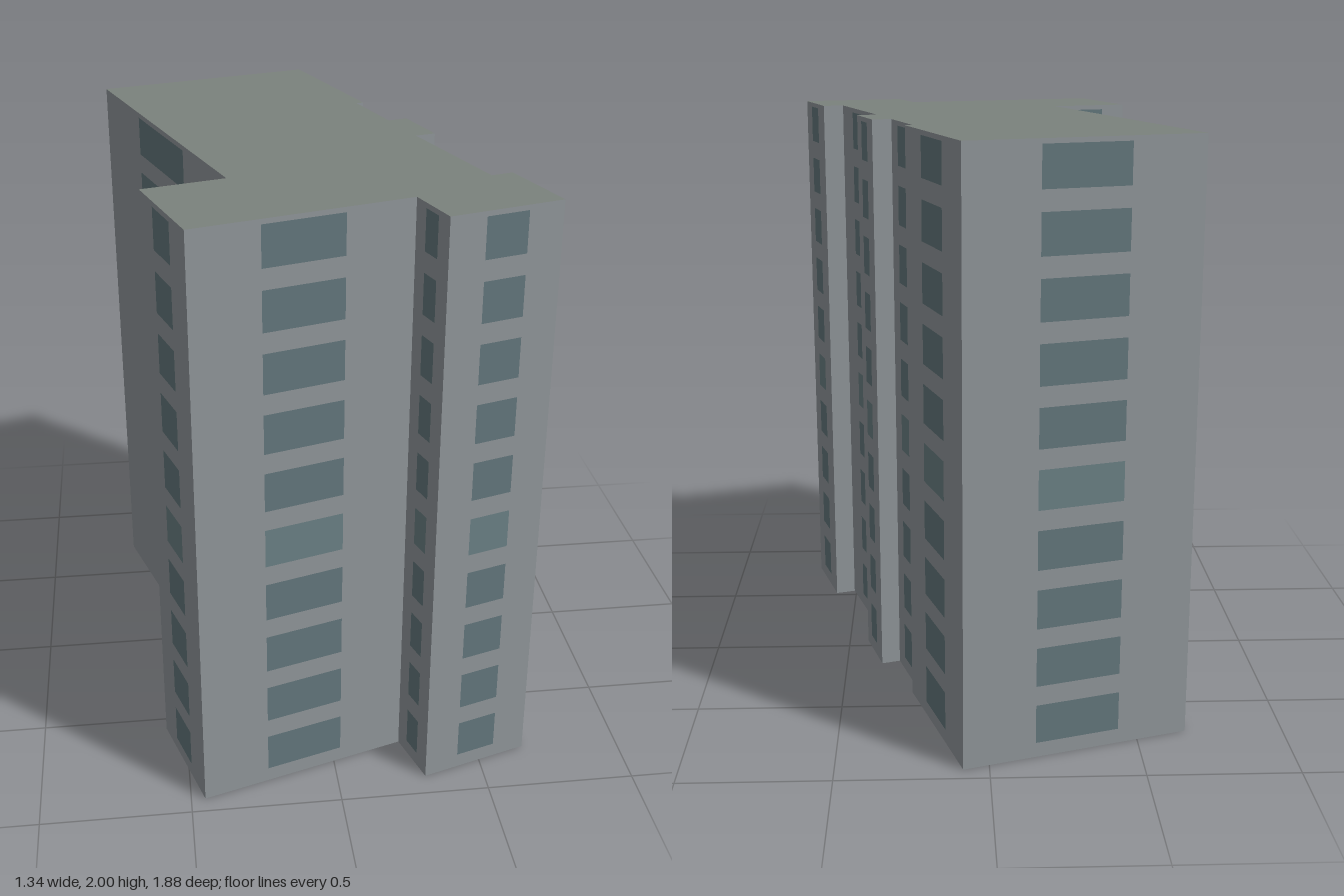
import * as THREE from 'three';
import { mergeGeometries } from 'three/addons/utils/BufferGeometryUtils.js';

const HEIGHT = 2, FLOORS = 10, STOREY = HEIGHT / FLOORS;

// Footprint corners as [x, z], running so that each wall faces outwards
const OUTLINE = [
  [-0.67, -0.71], [0.085, -0.945], [0.255, -0.395], [0.23, -0.387],
  [0.305, -0.137], [0.37, -0.157], [0.43, 0.047], [0.362, 0.068],
  [0.508, 0.54], [0.58, 0.518], [0.666, 0.80], [0.30, 0.915],
  [0.24, 0.725], [-0.453, 0.94], [-0.57, 0.555], [-0.303, 0.473],
];

const paint = (color) => new THREE.MeshStandardMaterial({ color, roughness: 0.9 });

export function createModel() {
  const building = new THREE.Group();
  building.name = 'apartmentBlock';
  const wallMat = paint(0x92989c);
  const roofMat = paint(0x7b827d);
  const glassMat = paint(0x64787e);
  const paleGlassMat = paint(0x6c8286);

  const add = (name, geometry, material) => {
    const mesh = new THREE.Mesh(geometry, material);
    mesh.name = name;
    building.add(mesh);
  };

  // Upright rectangle facing out of the wall that runs from a to b
  const panel = (a, b, width, height, y, offset) => {
    const nx = b[1] - a[1], nz = a[0] - b[0], len = Math.hypot(nx, nz);
    return new THREE.PlaneGeometry(width, height)
      .rotateY(Math.atan2(nx, nz))
      .translate(
        (a[0] + b[0]) / 2 + (nx / len) * offset, y,
        (a[1] + b[1]) / 2 + (nz / len) * offset);
  };

  // Walls, with one centred window per storey on every wall but the short returns
  const walls = [], windows = [], paleWindows = [];
  OUTLINE.forEach((a, i) => {
    const b = OUTLINE[(i + 1) % OUTLINE.length];
    const length = Math.hypot(b[0] - a[0], b[1] - a[1]);
    walls.push(panel(a, b, length, HEIGHT, HEIGHT / 2, 0));
    if (length < 0.12) return;
    for (let f = 0; f < FLOORS; f++) {
      const list = f === 4 ? paleWindows : windows;
      list.push(panel(a, b, length * 0.37, 0.133, f * STOREY + 0.118, 0.002));
    }
  });
  add('walls', mergeGeometries(walls), wallMat);
  add('windows', mergeGeometries(windows), glassMat);
  add('paleWindows', mergeGeometries(paleWindows), paleGlassMat);

  // Flat roof and underside share the footprint
  const flat = (sign) => new THREE.ShapeGeometry(
    new THREE.Shape(OUTLINE.map(([x, z]) => new THREE.Vector2(x, sign * z)))
  ).rotateX(sign * Math.PI / 2);
  add('roof', flat(-1).translate(0, HEIGHT, 0), roofMat);
  add('base', flat(1), wallMat);

  return building;
}
